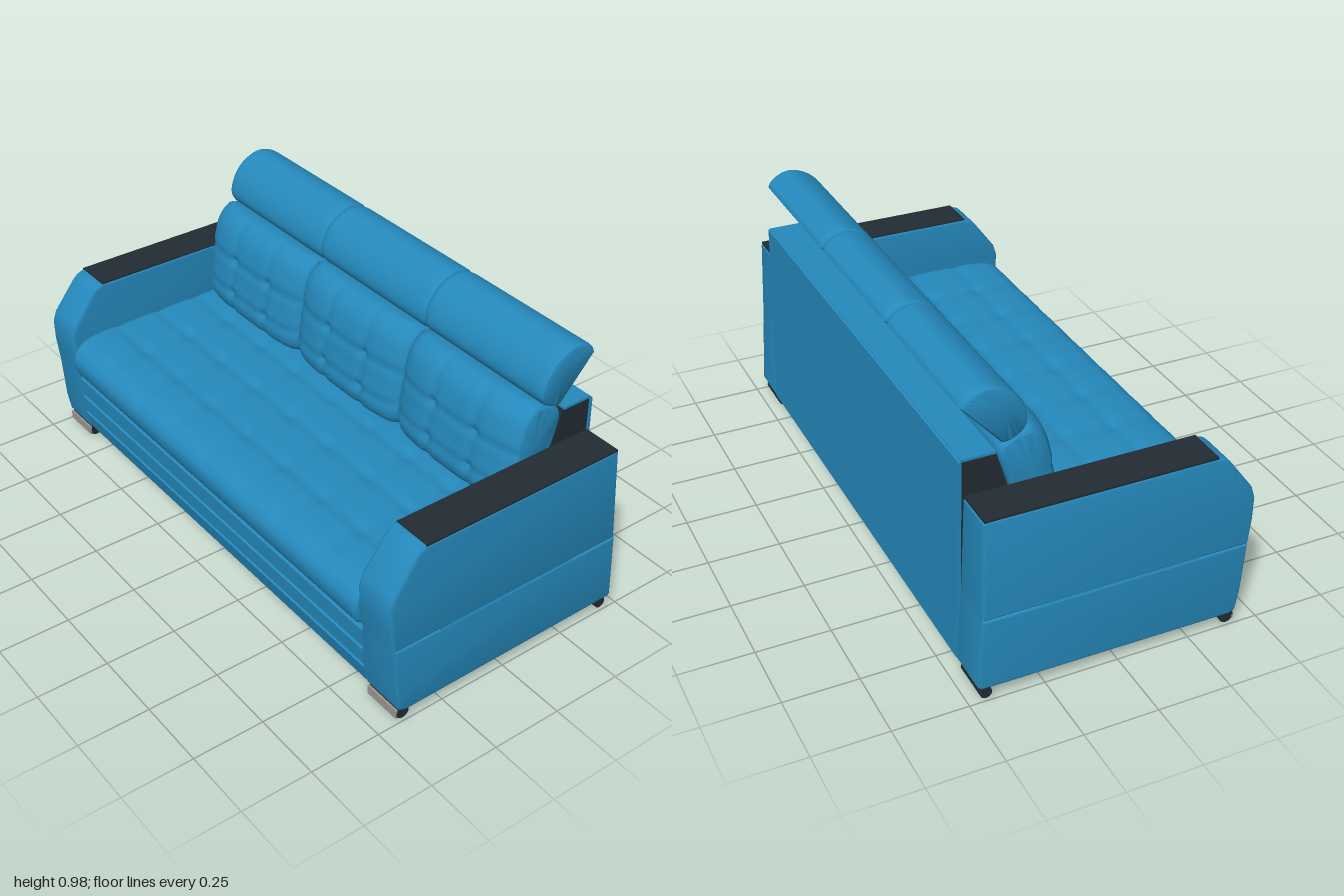
import * as THREE from 'three';
import { toCreasedNormals } from 'three/addons/utils/BufferGeometryUtils.js';

const material = (name, color) => Object.assign(new THREE.MeshStandardMaterial({ color }), { name });

// Side profile of [z, y] points, extruded across the width from x0 to x1
function sideExtrude(points, x0, x1, bevel = 0.008, hole) {
  const shape = new THREE.Shape(points.map(([z, y]) => new THREE.Vector2(z, y)));
  if (hole) shape.holes.push(new THREE.Path(hole.map(([z, y]) => new THREE.Vector2(z, y))));
  const depth = x1 - x0 - 2 * bevel;
  const geo = new THREE.ExtrudeGeometry(shape, {
    depth, bevelEnabled: bevel > 0, bevelThickness: bevel, bevelSize: bevel, bevelOffset: -bevel, bevelSegments: 3,
  });
  geo.translate(0, 0, -depth / 2).rotateY(-Math.PI / 2).translate((x0 + x1) / 2, 0, 0);
  return toCreasedNormals(geo, 0.6);
}

// Padded cushion: smooth [z, y] profile (closed by a straight line) swept along x with rounded ends
function cushion(profile, x0, x1, { round = 0.03, shrink = 0.12, steps = 48, deform } = {}) {
  const curve = new THREE.CatmullRomCurve3(profile.map(([z, y]) => new THREE.Vector3(0, y, z)), false, 'centripetal');
  const loop = curve.getSpacedPoints(71);
  const n = loop.length;
  const mid = loop.reduce((a, p) => a.add(p), new THREE.Vector3()).divideScalar(n);
  const pos = [], index = [], p = new THREE.Vector3();
  const cx = (x0 + x1) / 2, half = (x1 - x0) / 2;
  for (let i = 0; i <= steps; i++) {
    const x = -half * Math.cos((Math.PI * i) / steps);
    const u = Math.max(0, 1 - (half - Math.abs(x)) / round);
    const scale = 1 - shrink * (1 - Math.sqrt(Math.max(0, 1 - u * u)));
    for (const q of loop) {
      p.copy(q);
      if (deform) deform(p, x);
      p.sub(mid).multiplyScalar(scale).add(mid);
      pos.push(cx + x, p.y, p.z);
    }
  }
  for (let i = 0; i < steps; i++) {
    for (let j = 0; j < n; j++) {
      const k = (j + 1) % n, a = i * n + j, b = i * n + k, c = b + n, d = a + n;
      index.push(a, b, c, a, c, d);
    }
  }
  // End caps
  const c0 = pos.length / 3, last = steps * n;
  pos.push(x0, mid.y, mid.z, x1, mid.y, mid.z);
  for (let j = 0; j < n; j++) {
    const k = (j + 1) % n;
    index.push(c0, k, j, c0 + 1, last + j, last + k);
  }
  const geo = new THREE.BufferGeometry();
  geo.setAttribute('position', new THREE.Float32BufferAttribute(pos, 3));
  geo.setIndex(index);
  return toCreasedNormals(geo, 0.7);
}

// Soft stitched groove, 1 on the seam and fading to 0
const groove = (v, seams, width) => Math.max(...seams.map((s) => Math.exp(-(((v - s) / width) ** 2))));

export function createModel() {
  const blue = material('blue upholstery', 0x2589bc);
  const dark = material('dark trim', 0x222c34);
  const grey = material('grey metal', 0x9c9690);
  const sofa = new THREE.Group();
  sofa.name = 'sofa';

  const add = (name, geo, mat, parent = sofa) => {
    const mesh = new THREE.Mesh(geo, mat);
    mesh.name = name;
    parent.add(mesh);
    return mesh;
  };
  const box = (name, [x0, x1], [y0, y1], [z0, z1], mat, parent) => {
    const geo = new THREE.BoxGeometry(x1 - x0, y1 - y0, z1 - z0);
    geo.translate((x0 + x1) / 2, (y0 + y1) / 2, (z0 + z1) / 2);
    return add(name, geo, mat, parent);
  };

  // Base with three horizontal front bands, dark underside and seat support
  add('base', sideExtrude([
    [-0.45, 0.045], [0.405, 0.045], [0.42, 0.055], [0.436, 0.12], [0.428, 0.126], [0.438, 0.135],
    [0.442, 0.195], [0.434, 0.201], [0.442, 0.208], [0.446, 0.275], [0.435, 0.288], [-0.45, 0.288],
  ], -0.84, 0.84, 0), blue);
  box('underside', [-0.975, 0.975], [0.036, 0.046], [-0.455, 0.395], dark);
  box('undersideStrip', [-0.8, 0.8], [0.031, 0.037], [-0.34, -0.27], blue);
  box('seatSupport', [-0.835, 0.835], [0.285, 0.323], [-0.26, 0.38], dark);

  // Tufted seat
  add('seat', cushion([
    [-0.255, 0.32], [-0.255, 0.42], [-0.2, 0.444], [0, 0.448], [0.2, 0.446], [0.36, 0.444],
    [0.435, 0.428], [0.471, 0.385], [0.469, 0.335], [0.445, 0.295], [0.4, 0.292], [0.36, 0.318],
  ], -0.84, 0.84, {
    steps: 110, round: 0.02, shrink: 0.06,
    deform: (p, x) => {
      if (p.y < 0.4) return;
      const rows = groove(p.z, [-0.07, 0.1, 0.28], 0.022);
      const columns = groove(x, [-0.63, -0.42, -0.21, 0, 0.21, 0.42, 0.63], 0.03);
      p.y -= 0.005 * rows + 0.003 * columns + 0.006 * rows * columns;
    },
  }), blue);

  // Back frame with upholstered rear and top
  add('backFrame', sideExtrude([
    [-0.258, 0.285], [-0.258, 0.45], [-0.302, 0.64], [-0.337, 0.752], [-0.448, 0.752], [-0.46, 0.05], [-0.3, 0.05],
  ].reverse(), -0.832, 0.832, 0), dark);
  add('backPanel', sideExtrude([
    [-0.448, 0.757], [-0.456, 0.752], [-0.472, 0.055], [-0.465, 0.045], [-0.455, 0.045],
  ], -0.838, 0.838, 0), blue);
  box('backTop', [-0.834, 0.834], [0.75, 0.758], [-0.45, -0.338], blue);

  // Three back cushions, each with its headrest
  const bounds = [-0.838, -0.28, 0.28, 0.838];
  for (let i = 0; i < 3; i++) {
    const x0 = bounds[i] + 0.002, x1 = bounds[i + 1] - 0.002;
    add('backCushion', cushion([
      [-0.26, 0.44], [-0.29, 0.6], [-0.328, 0.755], [-0.305, 0.785], [-0.25, 0.806], [-0.2, 0.808],
      [-0.155, 0.77], [-0.128, 0.69], [-0.115, 0.6], [-0.102, 0.51], [-0.115, 0.46], [-0.16, 0.435],
    ], x0, x1, {
      steps: 64, round: 0.05, shrink: 0.12,
      deform: (p, x) => {
        if (p.z < -0.22) return;
        const rows = groove(p.y, [0.53, 0.655], 0.016);
        const columns = groove(x, [-0.1, 0.1], 0.018);
        p.z -= 0.006 * rows + 0.006 * columns + 0.008 * rows * columns + 0.03 * Math.abs(x / 0.28) ** 4;
      },
    }), blue);
    add('headrest', cushion([
      [-0.45, 0.925], [-0.445, 0.938], [-0.41, 0.965], [-0.36, 0.975], [-0.29, 0.945], [-0.248, 0.89],
      [-0.236, 0.83], [-0.26, 0.795], [-0.305, 0.776], [-0.318, 0.778],
    ], x0, x1, { round: 0.025, shrink: 0.1 }), blue);
  }

  // Armrests: solid lower block, open upper loop, dark top pad and feet
  const armBase = sideExtrude([
    [0.4, 0.04], [0.42, 0.052], [0.432, 0.12], [0.444, 0.298], [-0.456, 0.298], [-0.47, 0.055], [-0.46, 0.045],
  ].reverse(), 0.838, 1, 0.008);
  const armLoop = sideExtrude([
    [0.446, 0.296], [0.458, 0.38], [0.462, 0.46], [0.45, 0.5], [0.37, 0.608], [0.352, 0.626], [0.325, 0.636],
    [-0.435, 0.636], [-0.446, 0.628], [-0.456, 0.296],
  ].reverse(), 0.838, 0.998, 0.01, [
    [0.262, 0.306], [0.262, 0.395], [0.212, 0.482], [0.2, 0.496], [0.175, 0.505], [-0.255, 0.505],
    [-0.265, 0.495], [-0.265, 0.306],
  ]);
  // Lean the outer face slightly inward towards the top
  const ap = armLoop.attributes.position;
  for (let i = 0; i < ap.count; i++) {
    if (ap.getX(i) > 0.92) ap.setX(i, ap.getX(i) - 0.05 * (ap.getY(i) - 0.296));
  }

  for (const [side, name] of [[1, 'leftArm'], [-1, 'rightArm']]) {
    const arm = new THREE.Group();
    arm.name = name;
    sofa.add(arm);
    const mirror = (geo) => {
      const g = geo.clone();
      if (side > 0) return g;
      // Mirror in x and restore the corner order
      g.scale(-1, 1, 1);
      for (const a of [g.attributes.position, g.attributes.normal]) {
        for (let i = 0; i < a.count; i += 3) {
          const b = new THREE.Vector3().fromBufferAttribute(a, i + 1);
          a.setXYZ(i + 1, a.getX(i + 2), a.getY(i + 2), a.getZ(i + 2));
          a.setXYZ(i + 2, b.x, b.y, b.z);
        }
      }
      return toCreasedNormals(g, 0.6);
    };
    const span = (a, b) => (side > 0 ? [a, b] : [-b, -a]);
    add('armBase', mirror(armBase), blue, arm);
    add('armLoop', mirror(armLoop), blue, arm);
    box('armTopPad', span(0.842, 0.979), [0.631, 0.639], [-0.442, 0.325], dark, arm);
    box('openingLining', span(0.85, 0.975), [0.3, 0.395], [0.257, 0.263], dark, arm);

    // Rounded feet, the front one faced with metal
    for (const [z, r, foot] of [[0.397, 0.024, 'frontFoot'], [-0.44, 0.02, 'rearFoot']]) {
      const geo = new THREE.CylinderGeometry(r, r, 0.14, 20).rotateZ(Math.PI / 2);
      add(foot, geo.translate(side * 0.918, r, z), dark, arm);
    }
    box('footPlate', span(0.848, 0.988), [0.008, 0.04], [0.416, 0.423], grey, arm);
  }
  return sofa;
}
